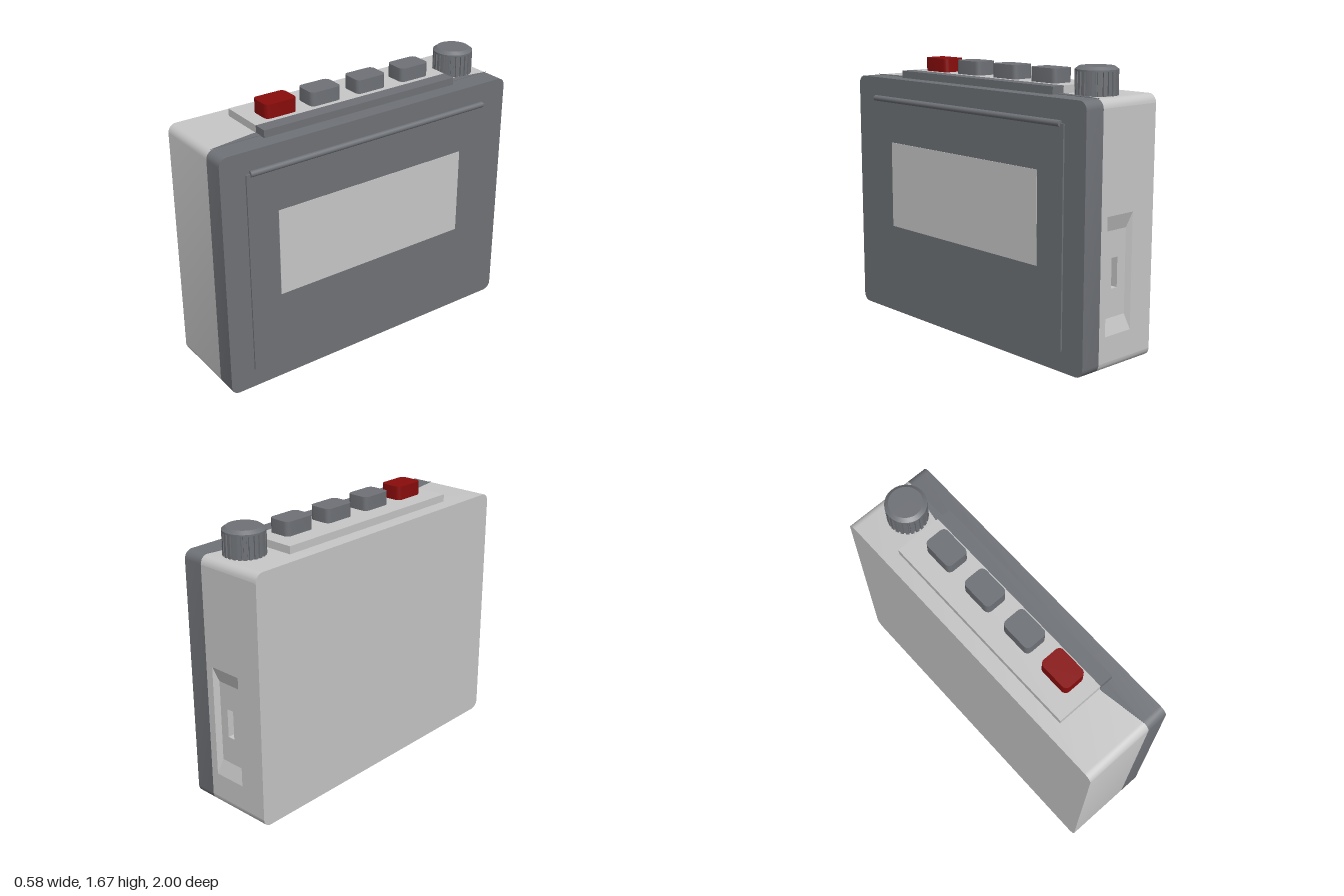
import * as THREE from 'three';
import { toCreasedNormals, mergeVertices } from 'three/addons/utils/BufferGeometryUtils.js';

const mat = (name, color) => {
  const m = new THREE.MeshStandardMaterial({ color });
  m.name = name;
  return m;
};

// Skin a list of equal-length point rings with quads
function loft(rings, closed) {
  const pos = [];
  for (let k = 0; k + 1 < rings.length; k++) {
    const r = rings[k], s = rings[k + 1], n = r.length;
    for (let i = 0; i < (closed ? n : n - 1); i++) {
      const j = (i + 1) % n;
      pos.push(...r[i], ...s[i], ...s[j], ...r[i], ...s[j], ...r[j]);
    }
  }
  const g = new THREE.BufferGeometry();
  g.setAttribute('position', new THREE.Float32BufferAttribute(pos, 3));
  g.computeVertexNormals();
  return g;
}

// Rounded rectangle as points, counterclockwise from the left bottom corner
function roundedOutline(x0, x1, y0, y1, r, steps = 5) {
  const centres = [[x0 + r, y0 + r], [x1 - r, y0 + r], [x1 - r, y1 - r], [x0 + r, y1 - r]];
  const pts = [];
  centres.forEach(([cx, cy], c) => {
    for (let i = 0; i <= steps; i++) {
      const a = Math.PI + (c + i / steps) * Math.PI / 2;
      pts.push(new THREE.Vector2(cx + r * Math.cos(a), cy + r * Math.sin(a)));
    }
  });
  return pts;
}

const prism = (pts, depth) => toCreasedNormals(
  new THREE.ExtrudeGeometry(new THREE.Shape(pts), { depth, bevelEnabled: false }), 0.6);

// Prism standing on height y; points are (x, -z)
const upright = (pts, y, height) => prism(pts, height).rotateX(-Math.PI / 2).translate(0, y, 0);

export function createModel() {
  const model = new THREE.Group();
  model.name = 'deviceModel';
  const light = mat('lightGrey', 0xc6c6c6);
  const dark = mat('slateGrey', 0x6e7176);
  const red = mat('darkRed', 0x890c0c);

  const add = (name, geometry, material, parent = model) => {
    const mesh = new THREE.Mesh(geometry, material);
    mesh.name = name;
    parent.add(mesh);
    return mesh;
  };
  // Box given by its limits
  const box = (name, material, x0, x1, y0, y1, z0, z1) => add(name,
    new THREE.BoxGeometry(x1 - x0, y1 - y0, z1 - z0)
      .translate((x0 + x1) / 2, (y0 + y1) / 2, (z0 + z1) / 2), material);

  const TOP = 1.51, LEFT = 0.265, SEAM = 0.135, RIGHT = -0.29, R = 0.05;
  const outline = roundedOutline(-1, 1, 0, TOP, R);

  // Light half of the case: wrapped sides, flat side, and end with port recess
  const shell = new THREE.Group();
  shell.name = 'lightCase';
  model.add(shell);
  const wrap = loft([RIGHT, SEAM].map(x => outline.map(p => [x, p.y, p.x])), false);
  add('caseWrap', toCreasedNormals(mergeVertices(wrap), 0.6), light, shell);
  add('caseSide', new THREE.ShapeGeometry(new THREE.Shape(outline))
    .rotateY(-Math.PI / 2).translate(RIGHT, 0, 0), light, shell);

  // Rectangles (x0, x1, y0, y1, z) from the end face down into the port
  const rings = [
    [RIGHT, SEAM, R, TOP - R, -1],
    [-0.12, 0.087, 0.2, 0.875, -1],
    [-0.1, 0.067, 0.29, 0.785, -0.97],
    [-0.035, 0.012, 0.455, 0.63, -0.97],
    [-0.035, 0.012, 0.455, 0.63, -0.92],
    [-0.012, -0.012, 0.54, 0.54, -0.92],
  ].map(([x0, x1, y0, y1, z]) => [[x0, y0, z], [x1, y0, z], [x1, y1, z], [x0, y1, z]]);
  add('portRecess', loft(rings, true), light, shell);

  // Dark half of the case
  add('darkCase', prism(outline, LEFT - SEAM).rotateY(Math.PI / 2).translate(SEAM, 0, 0), dark);
  const inlay = [[SEAM, -0.97], [SEAM, 0.97], [0.09, 0.69], [0.09, -0.69]]
    .map(([x, v]) => new THREE.Vector2(x, v));
  add('topInlay', upright(inlay, TOP, 0.003), dark);

  // Door, hinge bar and window on the dark side
  box('door', dark, LEFT, 0.275, 0.12, 1.378, -0.845, 0.845);
  box('window', light, 0.275, 0.278, 0.57, 1.11, -0.652, 0.652);
  add('hingeBar', new THREE.CylinderGeometry(0.018, 0.018, 1.64, 16)
    .rotateX(Math.PI / 2).translate(0.272, 1.378, 0), dark);

  // Two-tone button plate
  box('buttonPlate', light, -0.2, 0.09, TOP, 1.555, -0.665, 0.665);
  box('buttonPlateEdge', dark, 0.09, 0.175, TOP, 1.555, -0.665, 0.665);

  // Buttons
  [0.475, 0.175, -0.145, -0.465].forEach((z, i) => {
    const pts = roundedOutline(-0.085, 0.06, -z - 0.102, -z + 0.102, 0.03);
    add(i === 0 ? 'recordButton' : 'button' + i, upright(pts, 1.555, 0.083), i === 0 ? red : dark);
  });

  // Fluted knob with a chamfered cap
  const knob = new THREE.Group();
  knob.name = 'knob';
  knob.position.set(-0.01, TOP, -0.815);
  model.add(knob);
  const flutes = [];
  const TEETH = 24;
  for (let i = 0; i < TEETH; i++) {
    [[0, 0.12], [0.6, 0.12], [0.65, 0.111], [0.95, 0.111]].forEach(([f, r]) => {
      const a = (i + f) / TEETH * Math.PI * 2;
      flutes.push(new THREE.Vector2(r * Math.cos(a), r * Math.sin(a)));
    });
  }
  add('knobGrip', upright(flutes, 0, 0.13), dark, knob);
  const capProfile = [[0, 0.13], [0.12, 0.13], [0.12, 0.14], [0.097, 0.157], [0, 0.157]]
    .map(([r, y]) => new THREE.Vector2(r, y));
  add('knobCap', toCreasedNormals(new THREE.LatheGeometry(capProfile, 48), 0.4), dark, knob);

  return model;
}
